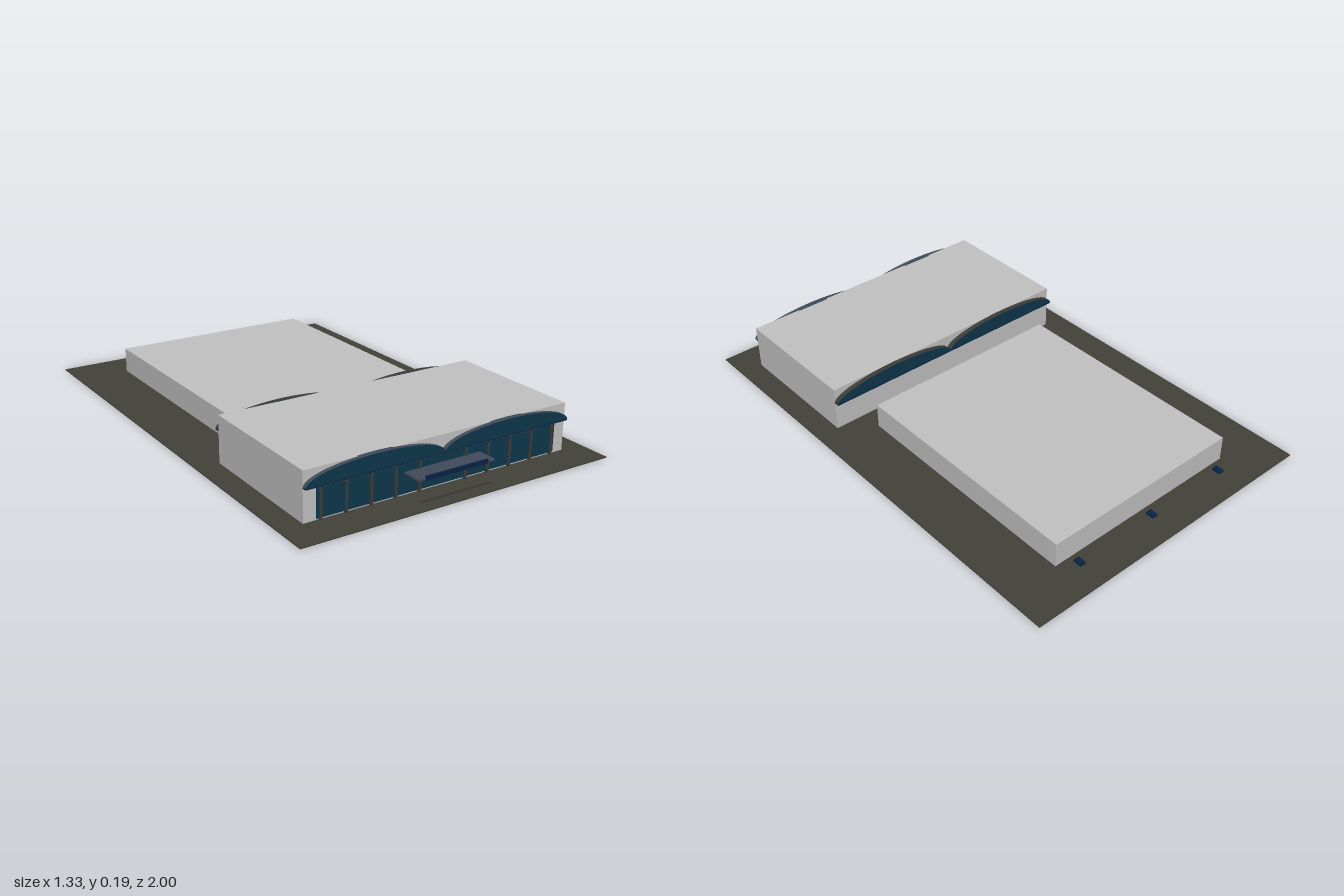
import * as THREE from 'three';

export function createModel() {
  const model = new THREE.Group();
  model.name = 'terminalBuilding';

  const mat = (name, color) => {
    const m = new THREE.MeshStandardMaterial({ color });
    m.name = name;
    return m;
  };
  const wall = mat('lightGreyWall', 0xc2c2c2);
  const asphalt = mat('darkGreyPaving', 0x42423a);
  const glass = mat('blueGlass', 0x0e374c);
  const slate = mat('slateMetal', 0x414b5a);
  const navy = mat('navyTrim', 0x0a2347);
  const frame = mat('darkFrame', 0x3c3c38);
  const gold = mat('goldSoffit', 0xb8963c);

  // box given by its limits on each axis
  const box = (name, material, [x0, x1], [y0, y1], [z0, z1]) => {
    const mesh = new THREE.Mesh(new THREE.BoxGeometry(x1 - x0, y1 - y0, z1 - z0), material);
    mesh.position.set((x0 + x1) / 2, (y0 + y1) / 2, (z0 + z1) / 2);
    mesh.name = name;
    model.add(mesh);
    return mesh;
  };

  // paved site and the two halls
  box('ground', asphalt, [-0.665, 0.665], [0, 0.004], [-1, 1]);
  box('frontHall', wall, [-0.57, 0.57], [0.004, 0.193], [0.29, 0.863]);
  box('rearHall', wall, [-0.44, 0.437], [0.004, 0.108], [-0.835, 0.195]);

  // twin arched gables on the front and back of the front hall
  const arch = new THREE.Shape();
  arch.moveTo(-0.285, 0);
  arch.absellipse(0, 0, 0.285, 0.062, Math.PI, 0, true);
  arch.closePath();
  const archGeo = new THREE.ExtrudeGeometry(arch, { depth: 0.022, bevelEnabled: false, curveSegments: 32 });
  for (const [side, z] of [['front', 0.858], ['back', 0.268]]) {
    for (const x of [-0.285, 0.285]) {
      const gable = new THREE.Mesh(archGeo, [glass, side === 'front' ? slate : frame]);
      gable.position.set(x, 0.133, z);
      gable.name = side + 'Arch';
      model.add(gable);
    }
    box(side + 'ArchSill', navy, [-0.57, 0.57], [0.129, 0.134], [z, z + 0.022]);
    box(side + 'ArchSoffit', gold, [-0.565, 0.565], [0.127, 0.129], [z + 0.003, z + 0.019]);
  }

  // glazed front with mullions either side of the entrance
  box('frontGlazing', glass, [-0.52, 0.52], [0.01, 0.121], [0.863, 0.867]);
  for (let i = -5; i <= 5; i++) {
    if (i === 0) continue;
    const x = i * 0.101;
    box('mullion', frame, [x - 0.005, x + 0.005], [0.004, 0.129], [0.863, 0.872]);
  }

  // entrance canopy, its fascia and the step below
  box('canopy', slate, [-0.167, 0.167], [0.085, 0.092], [0.863, 0.945]);
  box('canopyFascia', navy, [-0.135, 0.135], [0.083, 0.1], [0.943, 0.948]);
  box('entranceStep', frame, [-0.153, 0.153], [0.004, 0.009], [0.94, 0.948]);

  // low blocks behind the rear hall
  for (const x of [-0.37, 0, 0.367]) {
    box('rearBlock', navy, [x - 0.012, x + 0.012], [0.013, 0.022], [-0.9, -0.865]);
  }

  return model;
}
